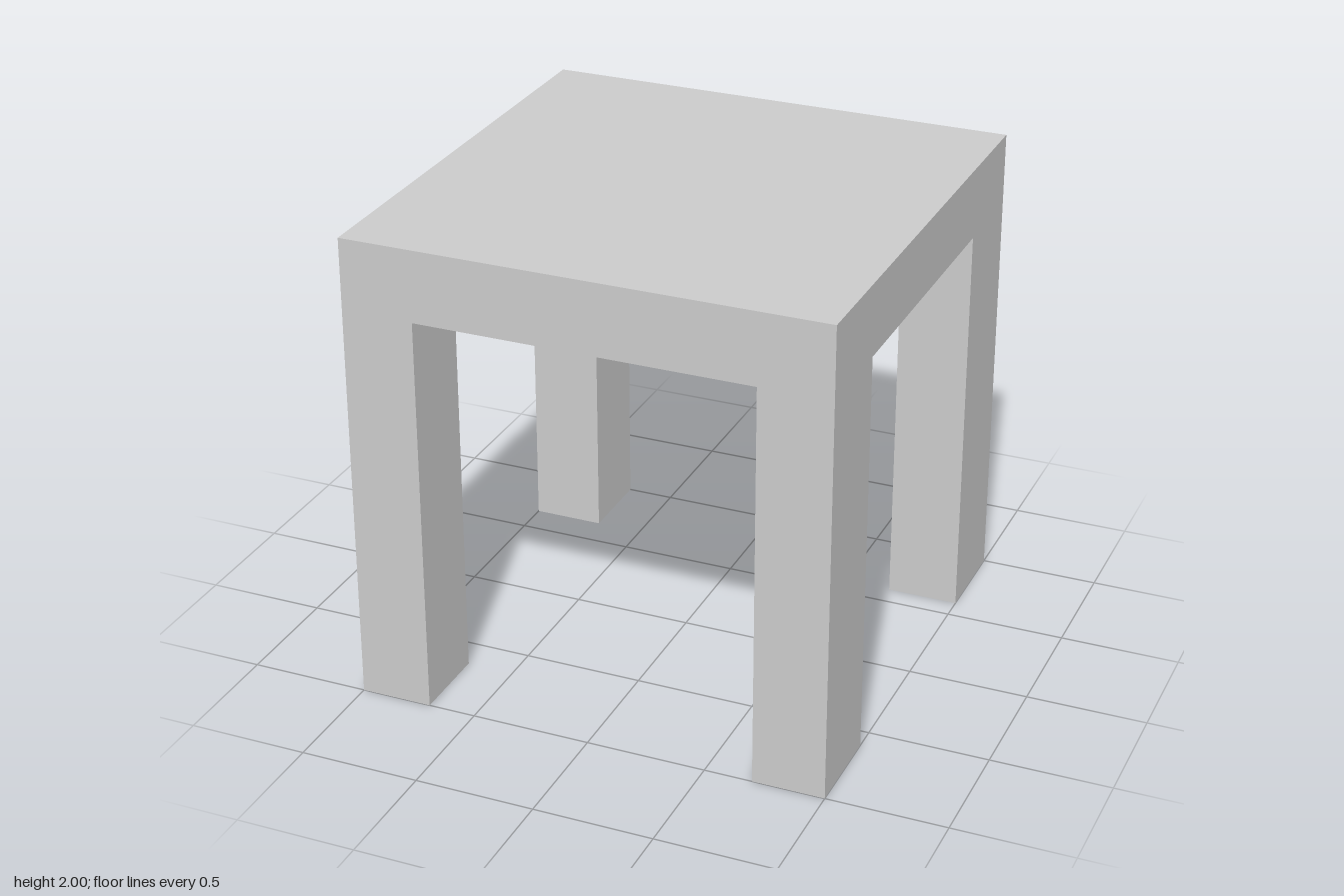
import * as THREE from 'three';

const material = new THREE.MeshStandardMaterial({ color: 0xcccccc, flatShading: true });

const SIZE = 2;
const TOP_THICKNESS = 0.3;
const LEG_HEIGHT = SIZE - TOP_THICKNESS;
const LEG_WIDTH = 0.3;

function addBox(group, name, w, h, d, x, y, z) {
  const mesh = new THREE.Mesh(new THREE.BoxGeometry(w, h, d), material);
  mesh.name = name;
  mesh.position.set(x, y, z);
  group.add(mesh);
}

export function createModel() {
  const table = new THREE.Group();
  table.name = 'table';

  // Thick square top
  addBox(table, 'tableTop', SIZE, TOP_THICKNESS, SIZE, 0, SIZE - TOP_THICKNESS / 2, 0);

  // Corner legs, flush with the top; the left pair is slightly deeper
  for (const sx of [1, -1]) {
    const depth = sx > 0 ? 0.4 : 0.35;
    for (const sz of [1, -1]) {
      const name = (sz > 0 ? 'front' : 'back') + (sx > 0 ? 'Left' : 'Right') + 'Leg';
      addBox(table, name, LEG_WIDTH, LEG_HEIGHT, depth,
        sx * (SIZE - LEG_WIDTH) / 2, LEG_HEIGHT / 2, sz * (SIZE - depth) / 2);
    }
  }
  return table;
}
